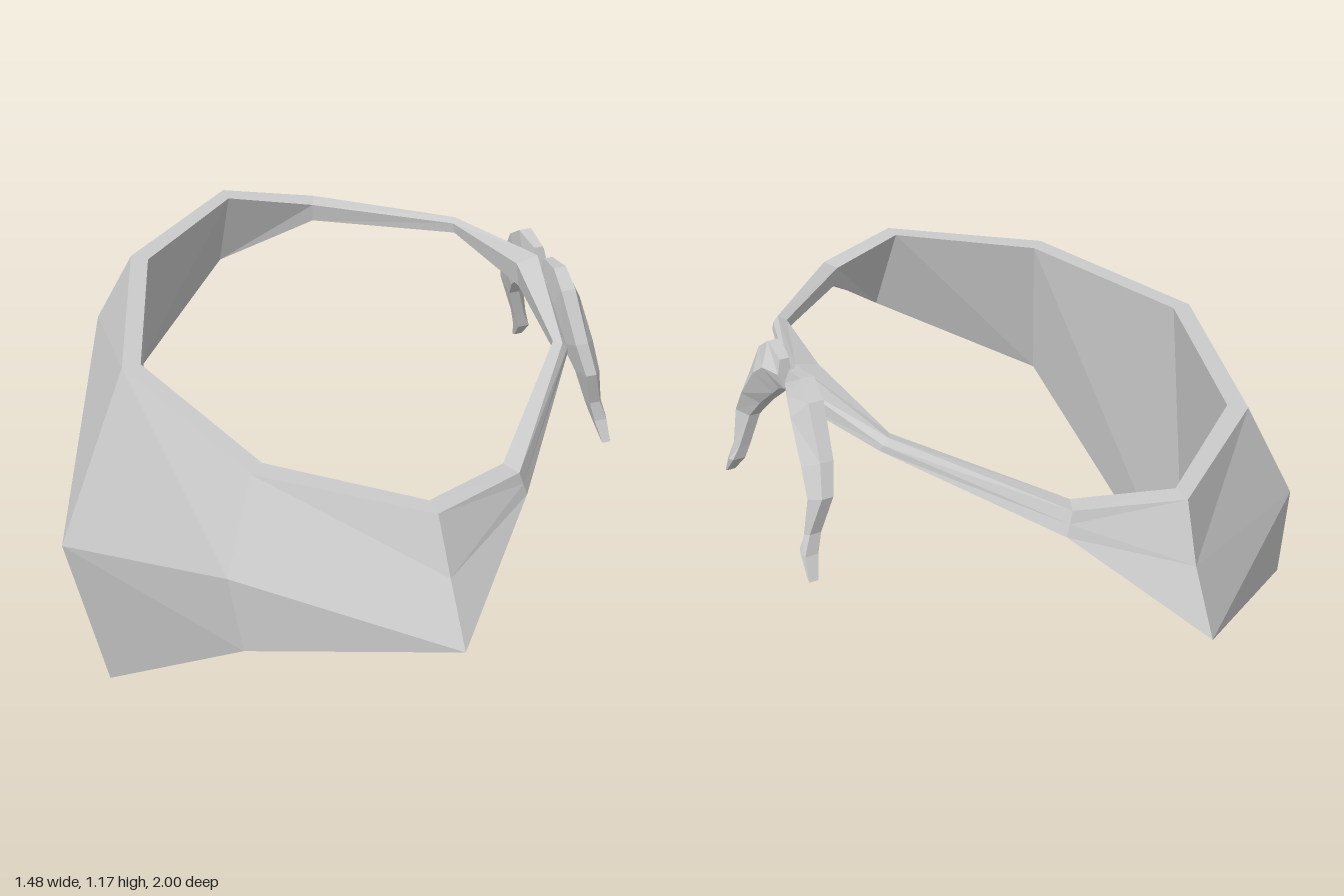
import * as THREE from 'three';

const material = new THREE.MeshStandardMaterial({ color: 0xcccccc, flatShading: true, side: THREE.DoubleSide });

// Skin a row of equal cross-sections; side = -1 mirrors across z = 0.
function loft(name, sections, side, capped) {
  const rows = sections.map((s) => {
    const pts = s.map(([x, y, z]) => [x, y, z * side]);
    return pts;
  });
  const out = [];
  const tri = (a, b, c) => out.push(...a, ...(side > 0 ? b : c), ...(side > 0 ? c : b));
  const n = rows[0].length;
  for (let i = 0; i < rows.length - 1; i++) {
    for (let j = 0; j < n; j++) {
      const k = (j + 1) % n;
      const a = rows[i][j], b = rows[i][k], c = rows[i + 1][k], d = rows[i + 1][j];
      tri(a, b, c);
      tri(a, c, d);
    }
  }
  if (capped) {
    const first = rows[0], last = rows[rows.length - 1];
    for (let j = 1; j < n - 1; j++) {
      tri(first[0], first[j + 1], first[j]);
      tri(last[0], last[j], last[j + 1]);
    }
  }
  const geo = new THREE.BufferGeometry();
  geo.setAttribute('position', new THREE.Float32BufferAttribute(out, 3));
  geo.computeVertexNormals();
  const mesh = new THREE.Mesh(geo, material);
  mesh.name = name;
  return mesh;
}

// Half of the folded cloth: outer top, outer fold, outer hem, inner hem, inner top.
const band = [
  [[-0.54, 1.04, 0], [-0.74, 0.51, 0], [-0.64, 0, 0], [-0.58, 0, 0], [-0.49, 1.04, 0]],
  [[-0.37, 1.04, 0.55], [-0.46, 0.81, 0.635], [-0.43, 0.585, 0.65], [-0.38, 0.587, 0.61], [-0.33, 1.04, 0.515]],
  [[-0.01, 1.04, 0.84], [0, 0.895, 0.905], [0.005, 0.745, 1], [0, 0.75, 0.935], [-0.01, 1.04, 0.785]],
  [[0.24, 1.027, 0.74], [0.25, 0.995, 0.745], [0.26, 0.965, 0.75], [0.225, 0.965, 0.705], [0.22, 1.025, 0.69]],
  [[0.53, 1.1, 0.355], [0.545, 1.083, 0.355], [0.55, 1.065, 0.35], [0.52, 1.065, 0.33], [0.515, 1.095, 0.33]],
  [[0.62, 1.15, 0], [0.635, 1.105, 0], [0.64, 1.055, 0], [0.57, 1.065, 0], [0.56, 1.135, 0]],
];

// Tail stations: outer edge [z, y], inner edge [z, y], back x, edge x, ridge x.
const tailStations = [
  [[0.03, 1.155], [0.015, 1.08], 0.625, 0.65, 0.66],
  [[0.11, 1.17], [0.055, 1.06], 0.615, 0.65, 0.68],
  [[0.165, 1.13], [0.09, 1.03], 0.615, 0.655, 0.69],
  [[0.245, 1.005], [0.165, 0.965], 0.63, 0.665, 0.70],
  [[0.28, 0.925], [0.215, 0.905], 0.65, 0.68, 0.705],
  [[0.26, 0.82], [0.23, 0.81], 0.68, 0.71, 0.72],
  [[0.27, 0.765], [0.235, 0.77], 0.695, 0.73, 0.735],
  [[0.297, 0.707], [0.285, 0.712], 0.71, 0.733, 0.735],
];
const tail = tailStations.map(([[oz, oy], [iz, iy], back, edge, ridge]) => [
  [ridge, (oy + iy) / 2, (oz + iz) / 2],
  [edge, oy, oz],
  [back, oy, oz],
  [back, iy, iz],
  [edge, iy, iz],
]);

export function createModel() {
  const group = new THREE.Group();
  group.name = 'neckerchief';
  for (const side of [1, -1]) {
    const label = side > 0 ? 'front' : 'back';
    group.add(loft(label + 'Band', band, side, false));
    group.add(loft(label + 'KnotTail', tail, side, true));
  }
  return group;
}
